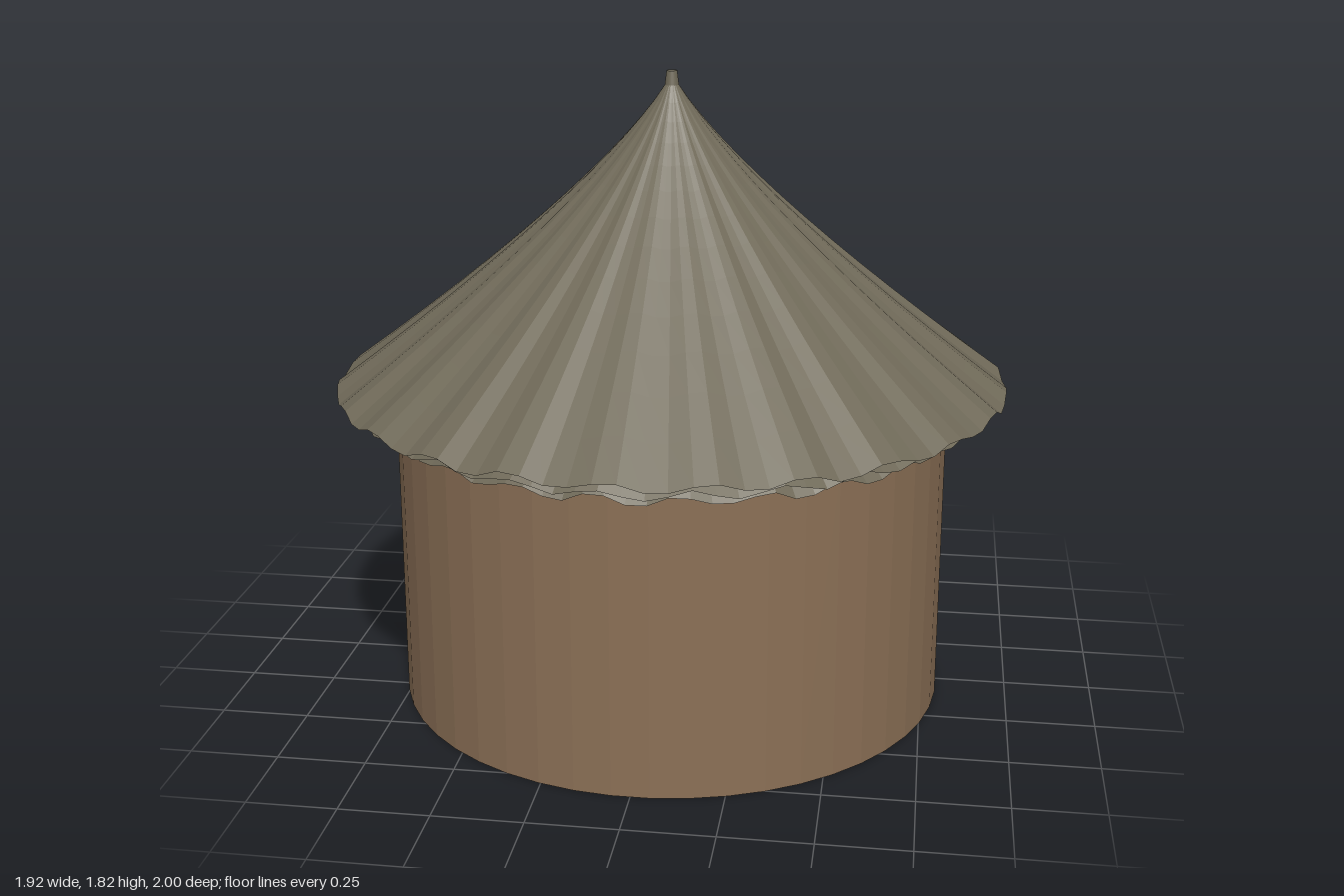
import * as THREE from 'three';

const WALL_SEG = 48, STEP = Math.PI * 2 / WALL_SEG;
const THATCH_SEG = 96;
const AXIS_Z = 0.037; // centre of the round house
const TIP_Y = 1.815;

function material(name, color) {
  const m = new THREE.MeshStandardMaterial({ color, flatShading: true, side: THREE.DoubleSide });
  m.name = name;
  return m;
}
const wallMat = material('mud brown', 0x8b7056);
const thatchMat = material('grey thatch', 0x706a59);
const darkMat = material('dark wood', 0x37322c);

function mesh(name, geometry, mat) {
  const m = new THREE.Mesh(geometry, mat);
  m.name = name;
  return m;
}

function box(name, mat, x0, x1, y0, y1, z0, z1) {
  const m = mesh(name, new THREE.BoxGeometry(x1 - x0, y1 - y0, z1 - z0), mat);
  m.position.set((x0 + x1) / 2, (y0 + y1) / 2, (z0 + z1) / 2);
  return m;
}

// Open upright shell spanning a number of wall facets
function shell(radius, start, count, y0, y1) {
  const g = new THREE.CylinderGeometry(radius, radius, y1 - y0, count, 1, true, start, count * STEP);
  g.translate(0, (y0 + y1) / 2, 0);
  return g;
}

// One thatch layer: gently concave cone whose ridges grow into a ruffled eave
function thatchLayer(eaveR, eaveY, seed) {
  const rows = 14, pts = [];
  for (let i = 0; i <= rows; i++) {
    const t = 1 - i / rows; // 1 at the eave, 0 at the tip
    const s = t * t * 0.4 + t * 0.6; // closer rows near the tip
    pts.push(new THREE.Vector2(Math.max(0.015, eaveR * Math.pow(s, 1.25)), TIP_Y - (TIP_Y - eaveY) * s));
  }
  const g = new THREE.LatheGeometry(pts, THATCH_SEG);
  const p = g.attributes.position;
  for (let i = 0; i < p.count; i++) {
    const col = Math.floor(i / pts.length) % THATCH_SEG;
    const noise = Math.sin((col + 1) * 12.9898 + seed * 78.233) * 43758.5453;
    const jitter = (noise - Math.floor(noise) - 0.5) * 0.008;
    const wave = Math.cos(col * Math.PI / 2 + seed * 0.8) * 0.012;
    const r = Math.hypot(p.getX(i), p.getZ(i));
    p.setY(i, p.getY(i) + (wave + jitter) * r / eaveR);
  }
  g.computeVertexNormals();
  return g;
}

export function createModel() {
  const hut = new THREE.Group();
  hut.name = 'roundHut';

  const house = new THREE.Group();
  house.name = 'house';
  house.position.z = AXIS_Z;
  hut.add(house);

  // Three nested wall shells with a doorway five facets wide at the back
  const door = 5, doorStart = Math.PI - door / 2 * STEP;
  const walls = [['outerWall', 0.796], ['middleWall', 0.742], ['innerWall', 0.688]];
  for (const [name, r] of walls) {
    house.add(mesh(name, shell(r, doorStart + door * STEP, WALL_SEG - door, 0, 0.875), wallMat));
    house.add(mesh(name + 'Lintel', shell(r, doorStart, door, 0.735, 0.875), wallMat));
  }

  // Three overlapping thatch layers sharing one tip
  house.add(mesh('upperThatch', thatchLayer(0.96, 0.928, 1), thatchMat));
  house.add(mesh('middleThatch', thatchLayer(0.9, 0.889, 2), thatchMat));
  house.add(mesh('lowerThatch', thatchLayer(0.84, 0.851, 3), thatchMat));

  // Doorstep and the dark block standing behind it
  hut.add(box('doorstep', wallMat, -0.236, 0.236, 0.185, 0.26, -1, -0.65));
  hut.add(box('innerBlock', darkMat, -0.145, 0.145, 0.205, 0.75, -0.58, -0.43));

  return hut;
}
